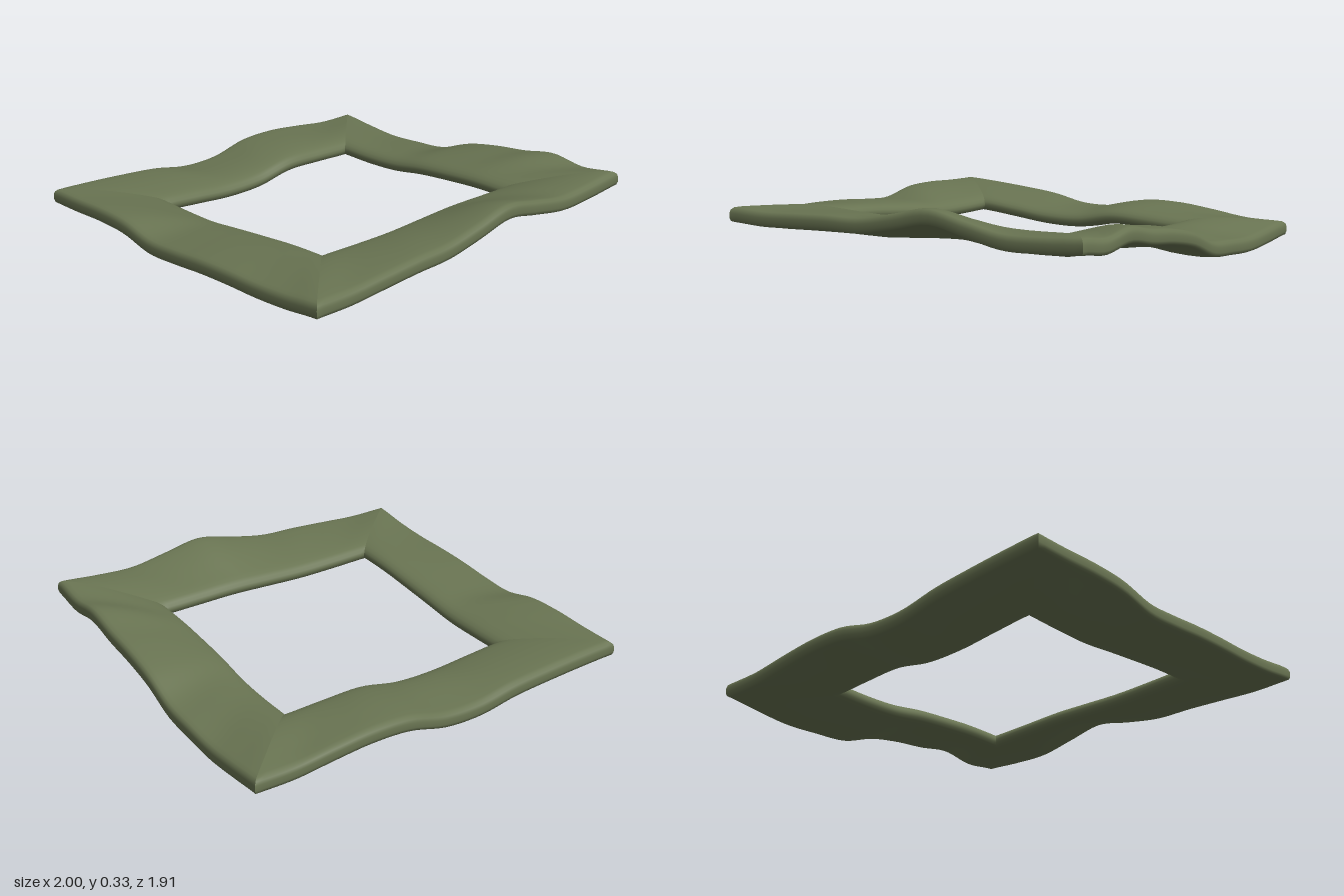
import * as THREE from 'three';

const STEPS = 48;
const OUTER = [1, 0.955], INNER = [0.597, 0.553];

// Corner signs (x, z) of each bar's run, and top heights along its outer and inner edge
const bars = [
  { name: 'frontBar', from: [-1, 1], to: [1, 1],
    outer: [0.245, 0.24, 0.25, 0.26, 0.265, 0.3, 0.34, 0.305, 0.27, 0.275, 0.29],
    inner: [0.235, 0.227, 0.222, 0.227, 0.232, 0.227, 0.222] },
  { name: 'leftBar', from: [1, 1], to: [1, -1],
    outer: [0.29, 0.265, 0.285, 0.25, 0.225, 0.185, 0.115, 0.095, 0.083, 0.095, 0.112],
    inner: [0.222, 0.218, 0.203, 0.183, 0.152, 0.14, 0.14] },
  { name: 'backBar', from: [1, -1], to: [-1, -1],
    outer: [0.112, 0.115, 0.14, 0.16, 0.155, 0.11, 0.108, 0.145, 0.165, 0.18, 0.19],
    inner: [0.14, 0.15, 0.155, 0.12, 0.118, 0.137, 0.155] },
  { name: 'rightBar', from: [-1, -1], to: [-1, 1],
    outer: [0.19, 0.195, 0.205, 0.2, 0.163, 0.172, 0.19, 0.2, 0.205, 0.22, 0.245],
    inner: [0.155, 0.155, 0.16, 0.183, 0.205, 0.225, 0.235] },
];

// Cross-section: u runs from outer (0) to inner (1) edge, v is the height offset from the top
const section = [
  // outer rim, nearly upright
  [0.04, -0.075], [0.012, -0.07], [0, -0.055], [0, -0.03], [0.012, -0.014], [0.04, -0.004],
  // top
  [0.09, 0], [0.2, 0.003], [0.35, 0.006], [0.5, 0.008], [0.65, 0.006], [0.76, 0.002],
  // rounded inner rim
  [0.84, -0.003], [0.91, -0.01], [0.96, -0.021], [0.99, -0.035], [1, -0.05], [0.99, -0.066],
  [0.96, -0.078], [0.91, -0.084],
  // underside
  [0.8, -0.088], [0.65, -0.092], [0.5, -0.094], [0.35, -0.09], [0.2, -0.084], [0.1, -0.078],
];

function heightCurve(values) {
  return new THREE.SplineCurve(values.map((h, i) => new THREE.Vector2(i, h)));
}

// Sweep the section along one mitred bar
function barGeometry(bar) {
  const outer = heightCurve(bar.outer), inner = heightCurve(bar.inner);
  const { lerp, smoothstep } = THREE.MathUtils;
  const n = section.length;
  const pos = [], index = [];
  for (let i = 0; i <= STEPS; i++) {
    const t = i / STEPS;
    const sx = lerp(bar.from[0], bar.to[0], t);
    const sz = lerp(bar.from[1], bar.to[1], t);
    const ho = outer.getPoint(t).y, hi = inner.getPoint(t).y;
    section.forEach(([u, v], j) => {
      pos.push(
        sx * lerp(OUTER[0], INNER[0], u),
        lerp(ho, hi, smoothstep(u, 0, 1)) + v,
        sz * lerp(OUTER[1], INNER[1], u),
      );
      if (i < STEPS) {
        const k = (j + 1) % n;
        const a = i * n + j, b = a + n, c = (i + 1) * n + k, d = i * n + k;
        index.push(a, b, c, a, c, d);
      }
    });
  }
  const geo = new THREE.BufferGeometry();
  geo.setAttribute('position', new THREE.Float32BufferAttribute(pos, 3));
  geo.setIndex(index);
  geo.computeVertexNormals();
  return geo;
}

export function createModel() {
  const group = new THREE.Group();
  group.name = 'wavyFrame';
  const green = new THREE.MeshStandardMaterial({ color: 0x697452 });
  green.name = 'mossGreen';
  for (const bar of bars) {
    const mesh = new THREE.Mesh(barGeometry(bar), green);
    mesh.name = bar.name;
    group.add(mesh);
  }
  // Rest the lowest point on the ground
  group.position.y = -new THREE.Box3().setFromObject(group).min.y;
  return group;
}
